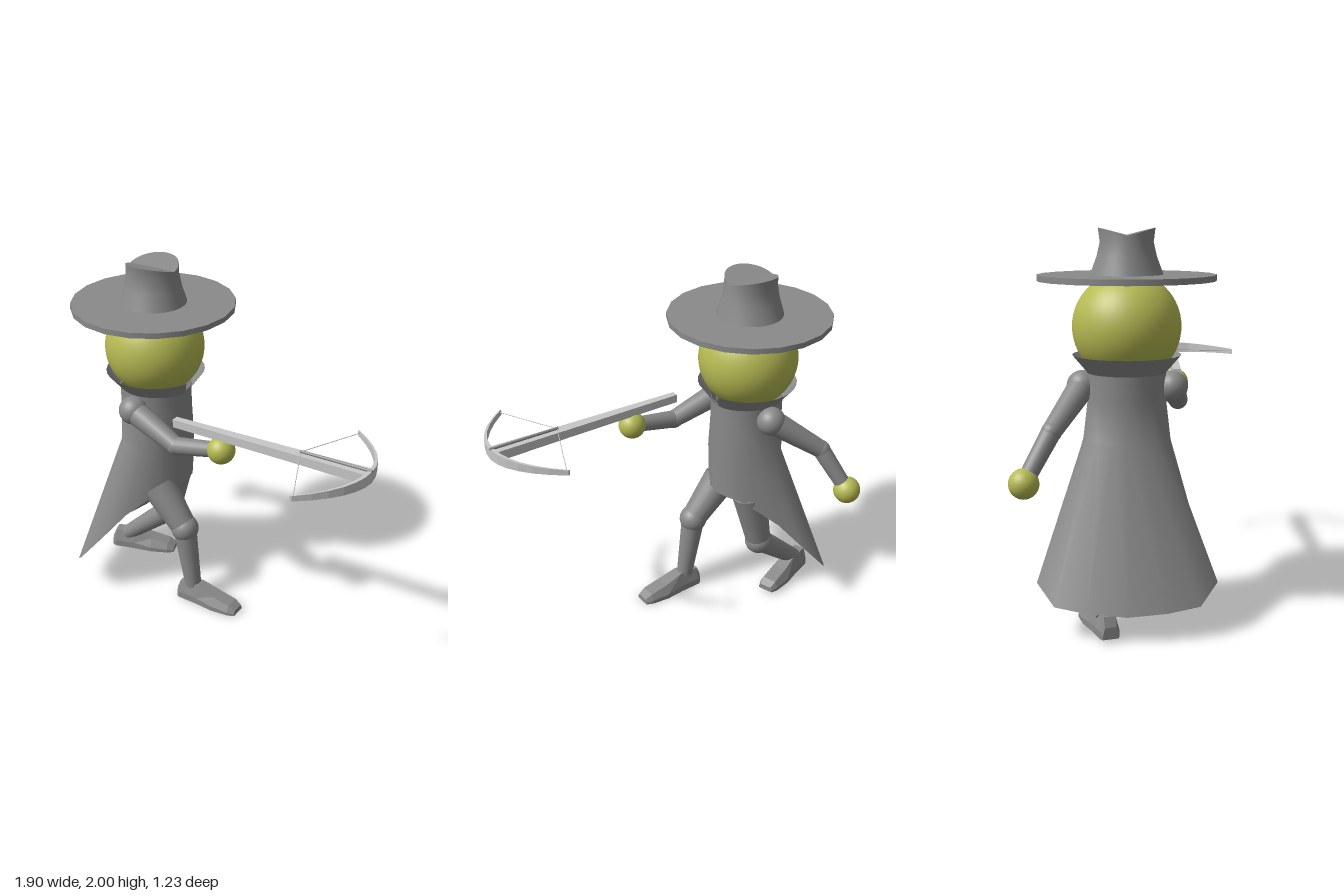
import * as THREE from 'three';

const mat = (name, color) => {
  const m = new THREE.MeshStandardMaterial({ color, side: THREE.DoubleSide });
  m.name = name;
  return m;
};
const CX = -0.505, CZ = -0.04; // body axis

// Surface through cross-sections; rings run counter-clockwise about the sweep direction
function loft(rings, { open = false, caps = false, flat = false } = {}) {
  const n = rings[0].length, idx = [];
  for (let i = 0; i < rings.length - 1; i++) {
    for (let j = 0; j < (open ? n - 1 : n); j++) {
      const a = i * n + j, b = i * n + (j + 1) % n;
      idx.push(a, b, a + n, b, b + n, a + n);
    }
  }
  if (caps) {
    const e = (rings.length - 1) * n;
    for (let j = 1; j < n - 1; j++) idx.push(0, j + 1, j, e, e + j, e + j + 1);
  }
  let g = new THREE.BufferGeometry();
  g.setAttribute('position', new THREE.Float32BufferAttribute(rings.flat(2), 3));
  g.setIndex(idx);
  if (flat) g = g.toNonIndexed();
  g.computeVertexNormals();
  return g;
}

// Horizontal ring about the body axis; y may depend on the angle
const ring = (rx, rz, y, n, from = 0, to = Math.PI * 2, closed = true) =>
  Array.from({ length: n }, (_, i) => {
    const a = from + (to - from) * i / (closed ? n : n - 1);
    return [CX + rx * Math.cos(a), typeof y === 'function' ? y(a) : y, CZ + rz * Math.sin(a)];
  });

export function createModel() {
  const root = new THREE.Group();
  root.name = 'figure';
  const cloth = mat('grey cloth', 0x8a8a8a);
  const skin = mat('yellow skin', 0xb6ba52);
  const bowMat = mat('pale bow', 0xc8c8c8);

  const add = (name, geo, material, parent = root) => {
    const m = new THREE.Mesh(geo, material);
    m.name = name;
    parent.add(m);
    return m;
  };
  const ball = (name, p, r, material, parent) => {
    const m = add(name, new THREE.SphereGeometry(r, 24, 16), material, parent);
    m.position.set(...p);
    return m;
  };
  // Tapered cylinder between two points
  const limb = (name, a, b, ra, rb, material, parent, sides = 20) => {
    const A = new THREE.Vector3(...a), B = new THREE.Vector3(...b), d = B.clone().sub(A);
    const m = add(name, new THREE.CylinderGeometry(rb, ra, d.length(), sides), material, parent);
    m.position.copy(A).lerp(B, 0.5);
    m.quaternion.setFromUnitVectors(new THREE.Vector3(0, 1, 0), d.normalize());
    return m;
  };

  // Head
  const head = ball('head', [CX, 1.51, CZ], 0.275, skin);
  head.geometry = new THREE.SphereGeometry(0.275, 40, 28);

  // Hat: brim, crown and the folded top
  const brim = add('hatBrim', new THREE.CylinderGeometry(0.45, 0.45, 0.03, 20), cloth);
  brim.position.set(CX, 1.755, CZ);
  const rimY = a => 1.962 + 0.038 * Math.abs(Math.sin(a));
  const rim = ring(0.143, 0.143, rimY, 32);
  add('hatCrown', loft([
    rim, ring(0.147, 0.134, 1.93, 32), ring(0.16, 0.15, 1.86, 32), ring(0.185, 0.185, 1.765, 32),
  ]), cloth);
  add('hatFold', loft([ring(0.143, 0, 1.962, 32), rim], { flat: true }), cloth);

  // Coat: short in front, long flared tail behind; hem given for one half and mirrored
  const half = [
    [0.195, 0.70, 0], [0.18, 0.70, 0.08], [0.14, 0.695, 0.15], [0.06, 0.63, 0.22], [-0.04, 0.54, 0.295],
    [-0.15, 0.40, 0.375], [-0.265, 0.26, 0.45], [-0.36, 0.165, 0.36], [-0.415, 0.15, 0.2], [-0.435, 0.137, 0],
  ];
  const hem = [...half, ...half.slice(1, -1).reverse().map(([x, y, z]) => [x, y, -z])]
    .map(([x, y, z]) => [CX + x, y, CZ + z]);
  add('coat', loft([
    ring(0.2, 0.2, 1.28, 18), ring(0.2, 0.2, 1.15, 18), ring(0.2, 0.225, 0.94, 18), hem,
  ]), cloth);

  // Flared collar, open in a V at the front
  const notch = 0.33;
  add('collar', loft([
    ring(0.275, 0.275, 1.37, 29, notch, Math.PI * 2 - notch, false),
    ring(0.2, 0.2, a => 1.265 + 0.015 * Math.min(1, Math.abs(Math.sin(a / 2)) * 2), 29,
      0.02, Math.PI * 2 - 0.02, false),
  ], { open: true }), cloth);

  // Arms: one reaching forward to hold the bow, one swinging back
  const arms = [
    ['bowArm', [-0.505, 1.205, 0.19], [-0.2, 1.088, 0.235], [0.085, 1.14, 0.23]],
    ['swingArm', [-0.505, 1.21, -0.265], [-0.755, 1.02, -0.41], [-0.855, 0.785, -0.54]],
  ];
  for (const [name, shoulder, elbow, hand] of arms) {
    const g = new THREE.Group();
    g.name = name;
    root.add(g);
    ball('shoulder', shoulder, 0.08, cloth, g);
    limb('upperArm', shoulder, elbow, 0.07, 0.05, cloth, g);
    ball('elbow', elbow, 0.052, cloth, g);
    limb('forearm', elbow, hand, 0.05, 0.042, cloth, g);
    ball('hand', hand, 0.076, skin, g);
  }

  // Shoe pointing along +x from its ankle: x, top height, half widths at top and sole
  const shoe = loft([
    [-0.09, 0.06, 0.03, 0.04], [-0.07, 0.11, 0.03, 0.05], [0.05, 0.115, 0.035, 0.056],
    [0.16, 0.08, 0.042, 0.068], [0.265, 0.055, 0.042, 0.06], [0.305, 0.03, 0.035, 0.045],
  ].map(([x, t, wt, wb]) => [
    [x, t, -wt], [x, t, wt], [x, t * 0.35, wb], [x, 0, wb], [x, 0, -wb], [x, t * 0.35, -wb],
  ]), { caps: true, flat: true });

  // Legs in mid stride
  const legs = [
    ['frontLeg', [-0.43, 0.69, 0.08], [-0.245, 0.465, 0.095], [-0.19, 0.09, 0.1], 0, 0],
    ['backLeg', [-0.46, 0.70, -0.155], [-0.535, 0.35, -0.17], [-0.835, 0.10, -0.15], 0.32, 0.02],
  ];
  for (const [name, hip, knee, ankle, yaw, lift] of legs) {
    const g = new THREE.Group();
    g.name = name;
    root.add(g);
    limb('thigh', hip, knee, 0.1, 0.072, cloth, g);
    ball('knee', knee, 0.08, cloth, g);
    limb('shin', knee, ankle, 0.068, 0.047, cloth, g);
    const foot = add('shoe', shoe, cloth, g);
    foot.position.set(ankle[0], lift, ankle[2]);
    foot.rotation.y = yaw;
  }

  // Crossbow: tapered stock, curved limbs, string, bolt and trigger
  const bow = new THREE.Group();
  bow.name = 'crossbow';
  root.add(bow);
  const BZ = 0.23;
  add('stock', loft([
    [-0.205, 1.207, 1.253, 0.02], [0.5, 1.207, 1.256, 0.03], [0.93, 1.205, 1.26, 0.038],
  ].map(([x, b, t, w]) => [[x, t, BZ - w], [x, t, BZ + w], [x, b, BZ + w], [x, b, BZ - w]]),
  { caps: true, flat: true }), bowMat, bow);
  const limbs = [];
  for (let i = 0; i <= 12; i++) {
    const t = i / 6 - 1, x = 0.95 - 0.245 * t * t, z = BZ + 0.382 * t;
    const h = 0.033 - 0.018 * Math.abs(t), w = 0.022 - 0.012 * Math.abs(t), y = 1.235;
    limbs.push([[x, y - h, z], [x, y + h, z], [x - w, y + h, z], [x - w, y - h, z]]);
  }
  add('bowLimbs', loft(limbs, { caps: true, flat: true }), bowMat, bow);
  for (const s of [-1, 1]) {
    limb('string', [0.71, 1.24, BZ + 0.378 * s], [0.555, 1.265, BZ], 0.002, 0.002, bowMat, bow, 6);
  }
  limb('bolt', [0.55, 1.267, BZ], [0.95, 1.267, BZ], 0.008, 0.008, cloth, bow, 8);
  const trigger = add('trigger', new THREE.BoxGeometry(0.05, 0.05, 0.02), bowMat, bow);
  trigger.position.set(0.085, 1.19, BZ);

  return root;
}
